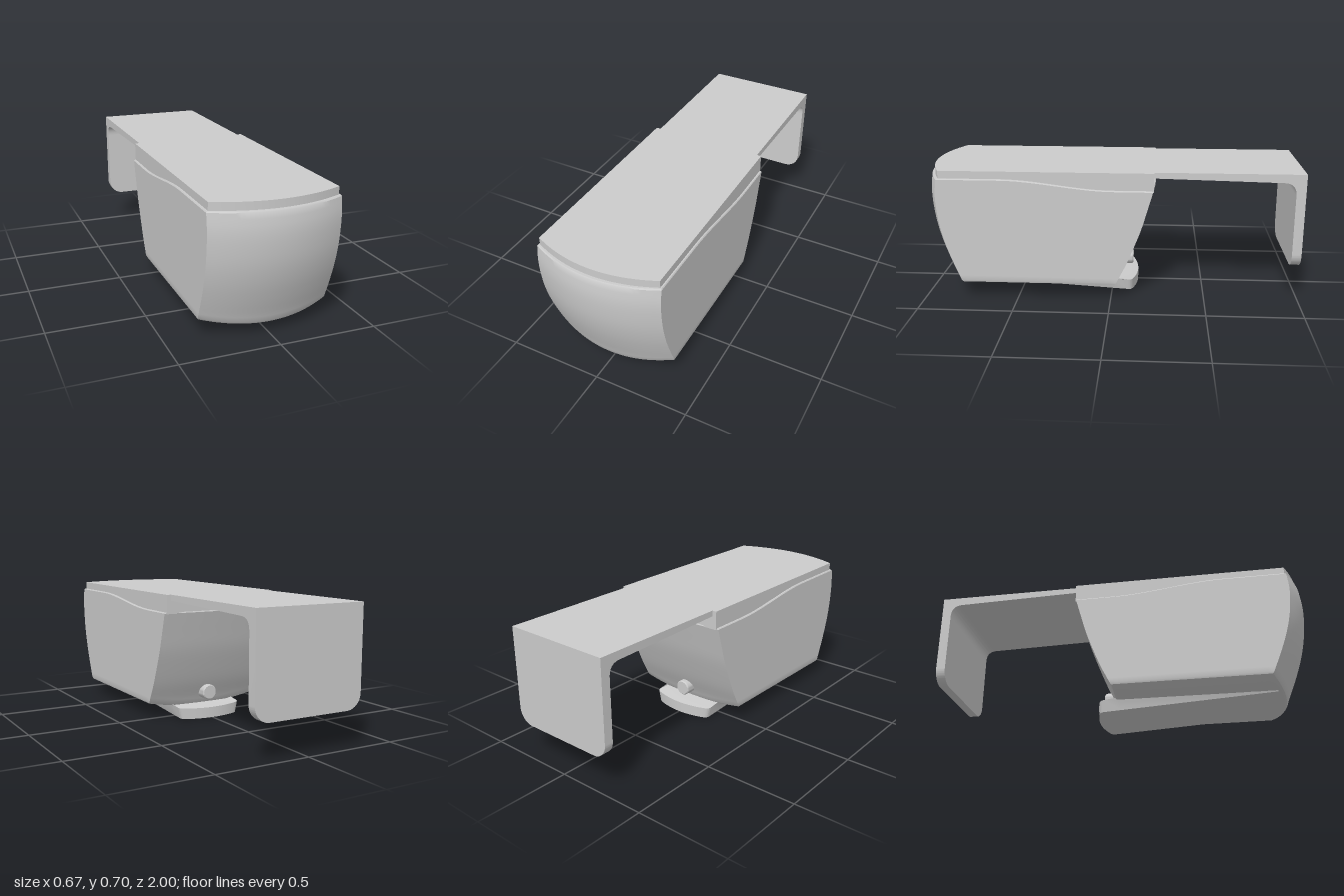
import * as THREE from 'three';
import { toCreasedNormals } from 'three/addons/utils/BufferGeometryUtils.js';

const HALF = 0.335;
const { lerp, smoothstep } = THREE.MathUtils;

// Piecewise smooth curve through [y, z] points, looked up by y
function profile(points) {
  const n = points.length - 1;
  return (y) => {
    let i = 0;
    while (i < n - 1 && y > points[i + 1][0]) i++;
    const slope = (k) => {
      const a = points[Math.max(k - 1, 0)], b = points[Math.min(k + 1, n)];
      return (b[1] - a[1]) / (b[0] - a[0]);
    };
    const [y0, z0] = points[i], [y1, z1] = points[i + 1];
    const h = y1 - y0, t = THREE.MathUtils.clamp((y - y0) / h, 0, 1);
    return z0 * (1 + 2 * t) * (1 - t) ** 2 + slope(i) * h * t * (1 - t) ** 2
      + z1 * t * t * (3 - 2 * t) + slope(i + 1) * h * t * t * (t - 1);
  };
}
const frontZ = profile([[0.05, 0.868], [0.1, 0.885], [0.2, 0.925], [0.3, 0.96], [0.4, 0.985], [0.5, 0.998], [0.58, 1], [0.66, 0.99]]);
const backZ = profile([[0.05, -0.01], [0.1, -0.03], [0.2, -0.08], [0.3, -0.122], [0.4, -0.16], [0.5, -0.19], [0.61, -0.222]]);
const rimY = (z) => lerp(0.608, 0.66, smoothstep(z, -0.02, 0.58));
const bellyY = (x) => 0.052 + 0.035 * (x / HALF) ** 2;

// Perimeter as (k, u): k across from -1 to 1, u from back (0) to front (1)
function perimeter() {
  const pts = [];
  const N = 24;
  for (let i = 0; i < N; i++) pts.push([1 - (2 * i) / N, 0]);
  for (let i = 0; i < N; i++) pts.push([-1, i / N]);
  for (let i = 0; i < N; i++) pts.push([-1 + (2 * i) / N, 1]);
  for (let i = 0; i < N; i++) pts.push([1, 1 - i / N]);
  return pts;
}

// Skin a stack of equal closed loops, ordered from bottom to top
function skin(loops) {
  const n = loops[0].length, pos = loops.flat(2), idx = [];
  for (let r = 0; r < loops.length - 1; r++) {
    for (let i = 0; i < n; i++) {
      const a = r * n + i, b = r * n + (i + 1) % n;
      idx.push(a, a + n, b, b, a + n, b + n);
    }
  }
  const g = new THREE.BufferGeometry();
  g.setAttribute('position', new THREE.Float32BufferAttribute(pos, 3));
  g.setIndex(idx);
  return g;
}

// Body: belly loops, wall loops, then a narrow inward rim
function bodyGeometry() {
  const ring = perimeter();
  const place = (k, u, y, inset) => {
    const x = k * (HALF - inset);
    const f = frontZ(y) - 0.085 * k * k - inset;
    const b = backZ(y) - 0.014 * (1 - k * k) + inset;
    return [x, y, lerp(b, f, u)];
  };
  const loops = [];
  for (const s of [0, 0.25, 0.5, 0.75, 1]) {
    loops.push(ring.map(([k, u]) => {
      const kk = k * s;
      return place(kk, 0.5 + (u - 0.5) * s, bellyY(kk * HALF), 0.014);
    }));
  }
  const wall = (v, inset, lift = 0) => ring.map(([k, u]) => {
    const top = rimY(lerp(-0.22, 0.99 - 0.085 * k * k, u));
    return place(k, u, lerp(bellyY(k * HALF) + lift, top, v), inset);
  });
  loops.push(wall(0, 0.004, 0.004), wall(0, 0, 0.014));
  for (let i = 1; i <= 20; i++) loops.push(wall((i / 20) * 0.99, 0, 0.014));
  loops.push(wall(1, 0.004), wall(1, 0.05));
  return toCreasedNormals(skin(loops), 0.6);
}

// Plan outlines are drawn as (x, -z) and extruded upwards
function extrudeUp(shape, y, height) {
  const g = new THREE.ExtrudeGeometry(shape, { depth: height, bevelEnabled: false, curveSegments: 24 });
  return g.rotateX(-Math.PI / 2).translate(0, y, 0);
}

// Lid with a bowed front edge
function lidGeometry() {
  const w = 0.324, s = new THREE.Shape();
  s.moveTo(-w, 0.225);
  s.lineTo(-w, -0.897);
  s.quadraticCurveTo(0, -1.047, w, -0.897);
  s.lineTo(w, 0.225);
  return toCreasedNormals(extrudeUp(s, 0.6, 0.1), 0.5);
}

// Top arm of the bracket, with a fillet into the drop plate
function armGeometry() {
  const s = new THREE.Shape();
  s.moveTo(-0.2, 0.7);
  s.lineTo(-1, 0.7);
  s.lineTo(-1, 0.59);
  s.lineTo(-0.95, 0.59);
  s.quadraticCurveTo(-0.95, 0.652, -0.89, 0.655);
  s.lineTo(-0.2, 0.67);
  const g = new THREE.ExtrudeGeometry(s, { depth: 0.6, bevelEnabled: false });
  return toCreasedNormals(g.rotateY(-Math.PI / 2).translate(0.3, 0, 0), 0.5);
}

// Drop plate with rounded lower corners
function dropGeometry() {
  const w = 0.3, b = 0.19, r = 0.08, s = new THREE.Shape();
  s.moveTo(w, 0.59);
  s.lineTo(-w, 0.59);
  s.lineTo(-w, b + r);
  s.absarc(-w + r, b + r, r, Math.PI, Math.PI * 1.5, false);
  s.absarc(w - r, b + r, r, Math.PI * 1.5, Math.PI * 2, false);
  const g = new THREE.ExtrudeGeometry(s, { depth: 0.05, bevelEnabled: false });
  return toCreasedNormals(g.translate(0, 0, -1), 0.5);
}

// Wedge under the belly, tapered downwards and ending in a curved tab
function leverGeometry() {
  const w = 0.2, s = new THREE.Shape();
  s.moveTo(-w, 0.085);
  s.lineTo(-w, 0);
  s.lineTo(-w, -0.82);
  s.lineTo(w, -0.82);
  s.lineTo(w, 0);
  s.lineTo(w, 0.085);
  s.quadraticCurveTo(w, 0.105, w - 0.02, 0.113);
  s.quadraticCurveTo(0, 0.167, -w + 0.02, 0.113);
  s.quadraticCurveTo(-w, 0.105, -w, 0.085);
  const g = extrudeUp(s, 0, 1);
  const p = g.attributes.position;
  for (let i = 0; i < p.count; i++) {
    const z = p.getZ(i);
    if (p.getY(i) > 0.5) {
      p.setXYZ(i, p.getX(i) * 0.95, 0.078 + 0.14 * Math.min(z, 0), z);
    } else {
      p.setXYZ(i, p.getX(i) * 0.88, 0.0085 + 0.06 * z, z);
    }
  }
  return toCreasedNormals(g, 0.5);
}

export function createModel() {
  const model = new THREE.Group();
  const material = new THREE.MeshStandardMaterial({ color: 0xcccccc, side: THREE.DoubleSide });
  const add = (name, geometry, parent = model) => {
    const mesh = new THREE.Mesh(geometry, material);
    mesh.name = name;
    parent.add(mesh);
    return mesh;
  };

  add('body', bodyGeometry());
  add('lid', lidGeometry());

  const bracket = new THREE.Group();
  bracket.name = 'bracket';
  model.add(bracket);
  add('bracketArm', armGeometry(), bracket);
  add('bracketDropPlate', dropGeometry(), bracket);

  add('releaseLever', leverGeometry());

  // Round button on the sloping back, with a softened rim
  const outline = [[0, 0], [0.042, 0], [0.042, 0.066], [0.037, 0.072], [0, 0.072]]
    .map(([r, h]) => new THREE.Vector2(r, h));
  const button = toCreasedNormals(new THREE.LatheGeometry(outline, 32), 0.5);
  add('button', button.rotateX(-Math.PI / 2).translate(0, 0.136, -0.04));

  return model;
}
